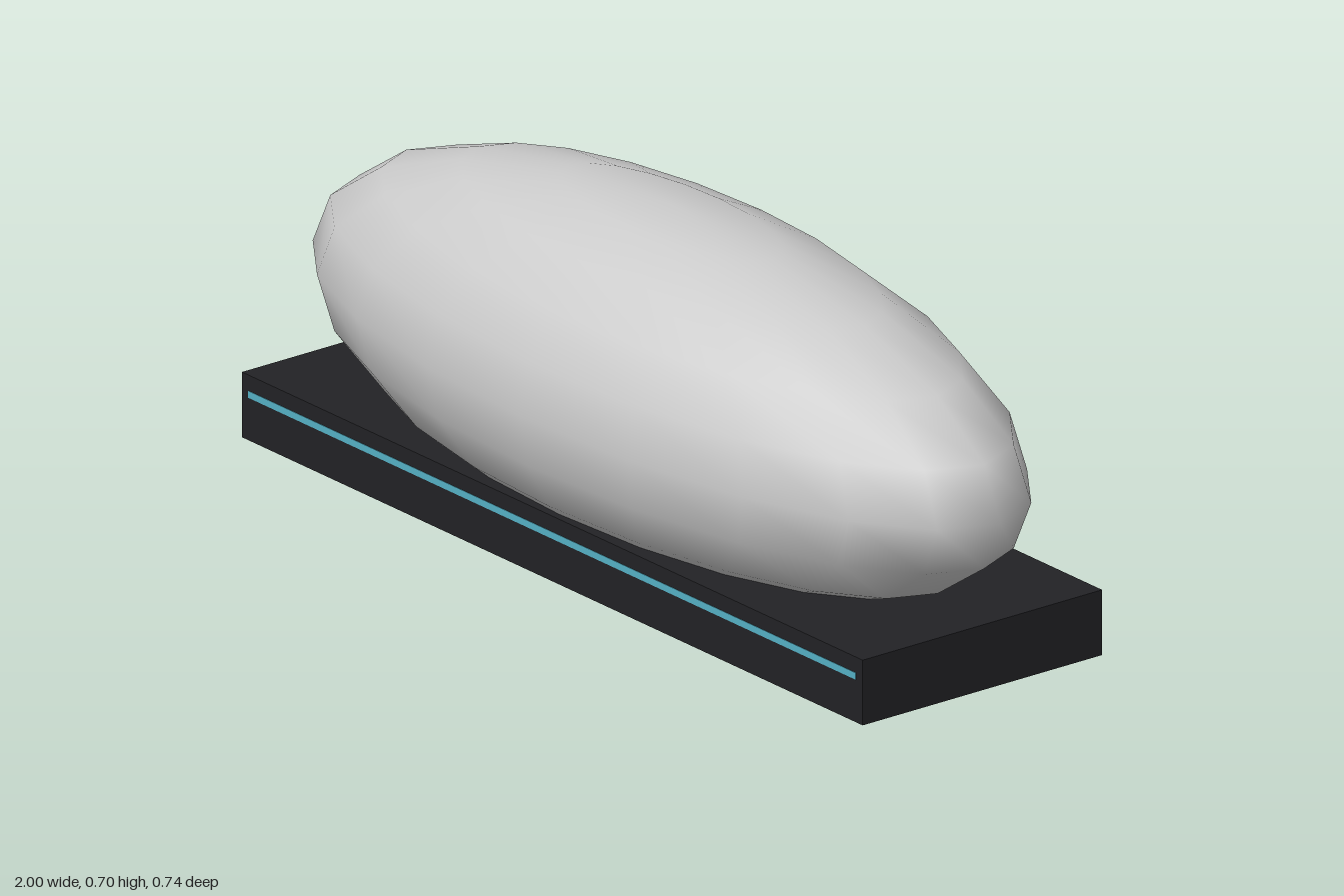
import * as THREE from 'three';

const BASE = { w: 1.89, h: 0.133, d: 0.58 };

function part(name, geometry, color) {
  const mesh = new THREE.Mesh(geometry, new THREE.MeshStandardMaterial({ color }));
  mesh.name = name;
  return mesh;
}

export function createModel() {
  const model = new THREE.Group();
  model.name = 'podOnBase';

  // Long smooth ellipsoid body, sunk into the base
  const bodyGeometry = new THREE.SphereGeometry(1, 20, 10);
  bodyGeometry.scale(1, 0.342, 0.368);
  const body = part('body', bodyGeometry, 0xcccccc);
  body.position.y = 0.356;
  model.add(body);

  // Flat dark slab
  const base = part('base', new THREE.BoxGeometry(BASE.w, BASE.h, BASE.d), 0x222225);
  base.position.y = BASE.h / 2;
  model.add(base);

  // Thin light strips, almost flush with the long sides of the slab
  for (const side of [1, -1]) {
    const strip = part(side > 0 ? 'frontLightStrip' : 'backLightStrip',
      new THREE.BoxGeometry(1.85, 0.014, 0.01), 0x55b0c4);
    strip.position.set(0, 0.094, side * (BASE.d / 2 - 0.004));
    model.add(strip);
  }

  return model;
}
